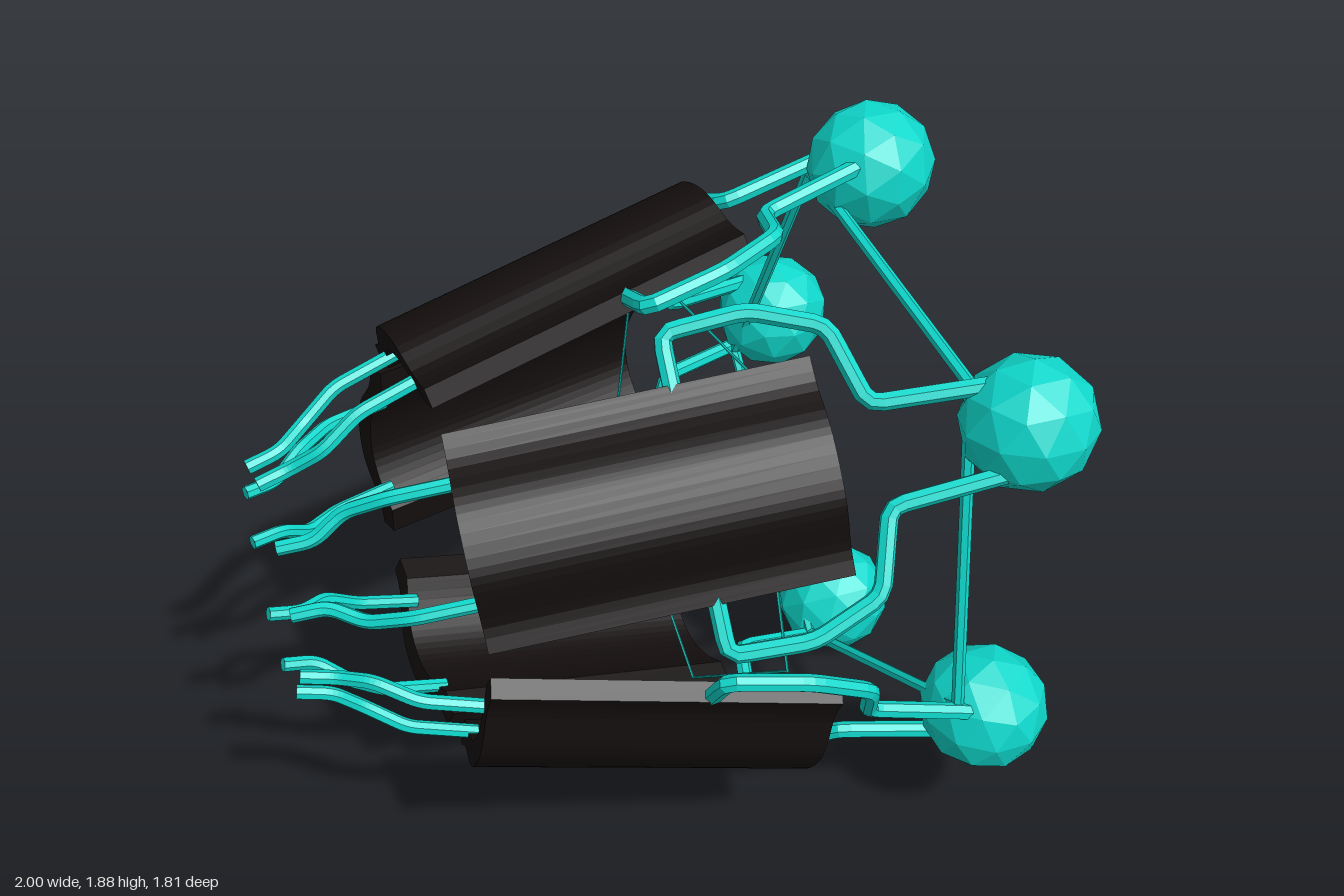
import * as THREE from 'three';

const teal = new THREE.MeshStandardMaterial({ color: 0x0fd8cc, flatShading: true });
const black = new THREE.MeshStandardMaterial({ color: 0x140e0e, flatShading: true });
const SIDES = 5;
const TILT = THREE.MathUtils.degToRad(15);

// Point in a segment: x along the axis, r outwards, t sideways
const pt = ([x, r, t]) => new THREE.Vector3(x, r, -t);

function add(parent, name, geometry, material) {
  const mesh = new THREE.Mesh(geometry, material);
  mesh.name = name;
  parent.add(mesh);
  return mesh;
}

// Bent rod: straight runs joined by small rounded corners, with closed ends
function addRod(parent, name, points, radius, bend) {
  const p = points.map(pt);
  const path = new THREE.CurvePath();
  let from = p[0];
  for (let i = 1; i < p.length - 1; i++) {
    const a = p[i].clone().add(p[i - 1].clone().sub(p[i]).setLength(bend));
    const b = p[i].clone().add(p[i + 1].clone().sub(p[i]).setLength(bend));
    path.add(new THREE.LineCurve3(from, a));
    path.add(new THREE.QuadraticBezierCurve3(a, p[i], b));
    from = b;
  }
  path.add(new THREE.LineCurve3(from, p[p.length - 1]));
  const rod = new THREE.Group();
  rod.name = name;
  add(rod, name + 'Tube', new THREE.TubeGeometry(path, 40, radius, 7, false), teal);
  [0, 1].forEach((u) => {
    const cap = add(rod, name + 'End', new THREE.CircleGeometry(radius, 7), teal);
    const dir = path.getTangentAt(u).multiplyScalar(u ? 1 : -1);
    cap.position.copy(path.getPointAt(u));
    cap.quaternion.setFromUnitVectors(new THREE.Vector3(0, 0, 1), dir);
  });
  parent.add(rod);
}

// Straight link between two points
function addLink(parent, name, a, b, radius) {
  const d = b.clone().sub(a);
  const mesh = add(parent, name, new THREE.CylinderGeometry(radius, radius, d.length(), 6), teal);
  mesh.position.copy(a).add(b).multiplyScalar(0.5);
  mesh.quaternion.setFromUnitVectors(new THREE.Vector3(0, 1, 0), d.normalize());
}

// Arched panel section swept along its length and tilted outwards
function panelGeometry() {
  const v = (x, y) => new THREE.Vector2(x, y);
  const s = new THREE.Shape();
  s.moveTo(-0.275, 0);
  s.lineTo(-0.2, 0);
  s.splineThru([v(-0.14, 0.05), v(-0.07, 0.085), v(0, 0.095), v(0.07, 0.085), v(0.14, 0.05), v(0.2, 0)]);
  s.lineTo(0.275, 0);
  s.lineTo(0.275, 0.055);
  s.splineThru([v(0.2, 0.075), v(0.12, 0.135), v(0.05, 0.16), v(-0.05, 0.16), v(-0.12, 0.135), v(-0.2, 0.075), v(-0.275, 0.055)]);
  s.closePath();
  const g = new THREE.ExtrudeGeometry(s, { depth: 0.92, bevelEnabled: false, curveSegments: 3 });
  g.rotateY(Math.PI / 2);
  g.rotateZ(TILT);
  g.translate(-0.565, 0.45, 0);
  return g;
}

export function createModel() {
  const model = new THREE.Group();
  model.name = 'radialGripper';
  const panel = panelGeometry();
  const ball = new THREE.IcosahedronGeometry(0.178, 1);
  const step = (2 * Math.PI) / SIDES;
  const slope = (x) => 0.63 + 0.265 * (x + 0.03);

  for (let i = 0; i < SIDES; i++) {
    const segment = new THREE.Group();
    segment.name = 'segment';
    segment.rotation.x = -Math.PI / 10 + i * step;
    model.add(segment);

    add(segment, 'panel', panel, black);
    add(segment, 'ball', ball, teal).position.set(0.82, 0.81, 0);

    for (const side of [-1, 1]) {
      // Arm from the ball round to the panel's edge
      const arm = [[0.76, 0.11], [0.43, 0.13], [0.37, 0.34], [0.19, 0.415], [-0.02, 0.405], [-0.02, 0.25]];
      addRod(segment, 'arm', arm.map(([x, t]) => [x, slope(x), side * t]), 0.024, 0.035);
      // Crooked prong at the narrow end
      const prong = [[-1, 0.29, 0.085], [-0.91, 0.315, 0.085], [-0.83, 0.36, 0.14], [-0.73, 0.44, 0.15], [-0.55, 0.5, 0.15]];
      addRod(segment, 'prong', prong.map(([x, r, t]) => [x, r, side * t]), 0.02, 0.03);
    }

    // Links to the next segment: a ring of bars and a ring of fine wires
    const turn = (p) => p.clone().applyAxisAngle(new THREE.Vector3(1, 0, 0), step);
    const barEnd = pt([0.69, 0.8, 0.12]);
    addLink(segment, 'ringBar', barEnd, turn(barEnd), 0.017);
    const wireEnd = pt([0.195, 0.62, 0.265]);
    addLink(segment, 'ringWire', wireEnd, turn(wireEnd), 0.004);
  }
  model.position.set(0, 0.95, 0.08);
  return model;
}
